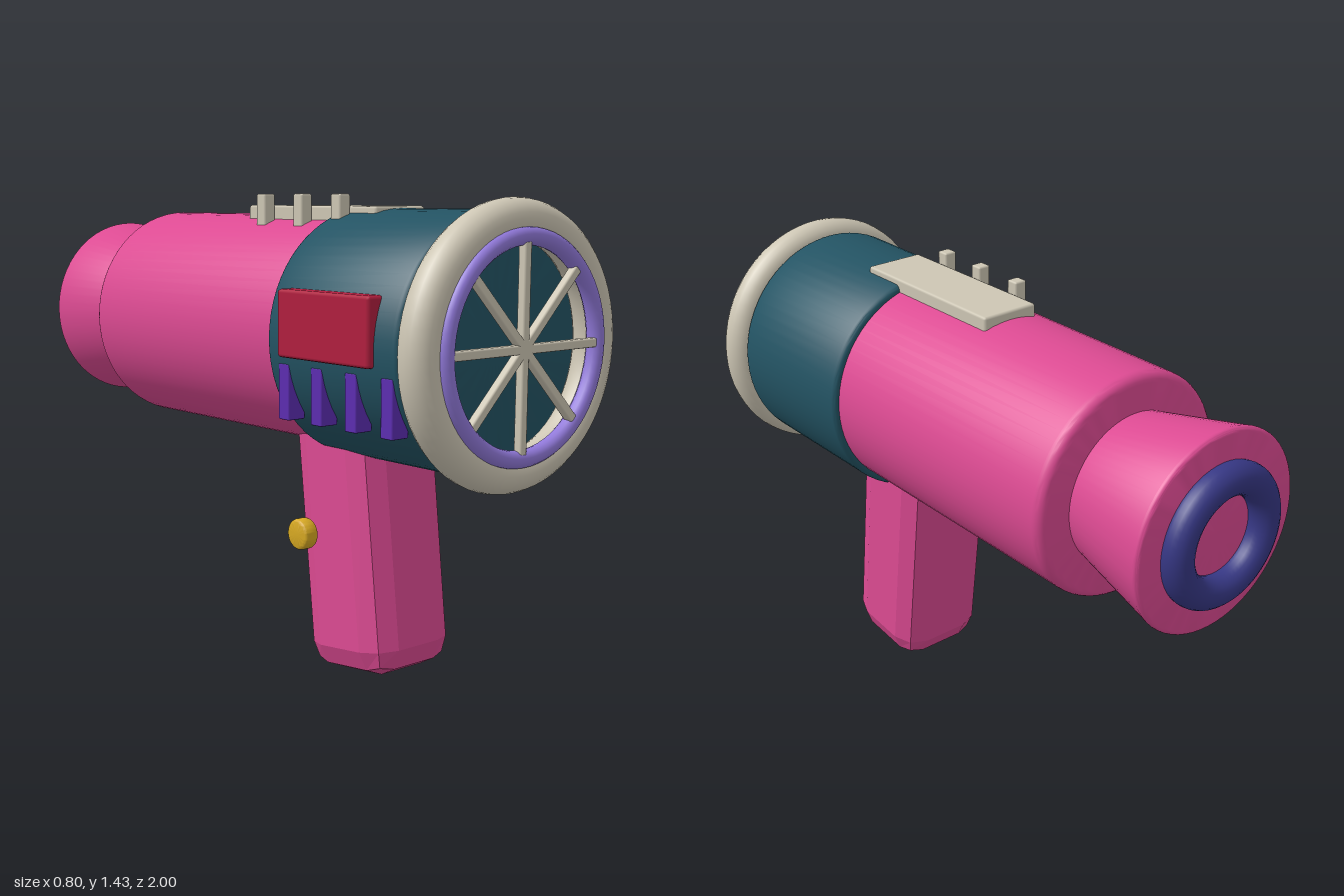
import * as THREE from 'three';
import { toCreasedNormals } from 'three/addons/utils/BufferGeometryUtils.js';
import { RoundedBoxGeometry } from 'three/addons/geometries/RoundedBoxGeometry.js';

const AXIS_Y = 1.034; // height of the barrel axis

function paint(name, color) {
  const m = new THREE.MeshStandardMaterial({ color });
  m.name = name;
  return m;
}

// Solid of revolution along z with rounded rims: radius r0 at z0, r1 at z1
function barrelGeometry(z0, r0, z1, r1, bevel) {
  const pts = [new THREE.Vector2(0, z0)];
  const steps = 5;
  for (let i = 0; i <= steps; i++) {
    const a = (i / steps) * Math.PI / 2;
    pts.push(new THREE.Vector2(r0 - bevel * (1 - Math.sin(a)), z0 + bevel * (1 - Math.cos(a))));
  }
  for (let i = 0; i <= steps; i++) {
    const a = (i / steps) * Math.PI / 2;
    pts.push(new THREE.Vector2(r1 - bevel * (1 - Math.cos(a)), z1 - bevel * (1 - Math.sin(a))));
  }
  pts.push(new THREE.Vector2(0, z1));
  const g = new THREE.LatheGeometry(pts, 64);
  g.rotateX(Math.PI / 2);
  return toCreasedNormals(g, 0.6);
}

export function createModel() {
  const pink = paint('pink', 0xdc4a92);
  const teal = paint('teal', 0x235363);
  const cream = paint('cream', 0xcdc6b4);
  const lavender = paint('lavender', 0x9179da);
  const navy = paint('navy', 0x363784);
  const red = paint('red', 0xb01e3e);
  const purple = paint('purple', 0x5c2db0);
  const yellow = paint('yellow', 0xd6a822);

  const model = new THREE.Group();
  model.name = 'toyBlaster';

  function add(name, geometry, material, x = 0, y = 0, z = 0) {
    const mesh = new THREE.Mesh(geometry, material);
    mesh.name = name;
    mesh.position.set(x, y, z);
    model.add(mesh);
    return mesh;
  }
  const block = (w, h, d, r = 0.006) => new RoundedBoxGeometry(w, h, d, 1, r);

  // Barrel sections, back to front
  add('rearFlare', barrelGeometry(-0.94, 0.302, -0.55, 0.222, 0.015), pink, 0, AXIS_Y);
  add('mainBarrel', barrelGeometry(-0.612, 0.344, 0.5, 0.344, 0.03), pink, 0, AXIS_Y);
  add('frontSleeve', barrelGeometry(0.338, 0.365, 0.872, 0.365, 0.02), teal, 0, AXIS_Y);

  // Rings
  add('rearRing', new THREE.TorusGeometry(0.167, 0.048, 20, 56), navy, 0, AXIS_Y, -0.952);
  add('muzzleRing', new THREE.TorusGeometry(0.342, 0.056, 20, 64), cream, 0, AXIS_Y, 0.93);
  add('innerRing', new THREE.TorusGeometry(0.297, 0.025, 14, 64), lavender, 0, AXIS_Y, 0.975);

  // Muzzle grille: four crossing bars
  for (let i = 0; i < 4; i++) {
    const bar = add('grilleBar', block(0.585, 0.026, 0.026, 0.005), cream, -0.012, AXIS_Y, 0.982);
    bar.rotation.z = i * Math.PI / 4;
  }

  // Faceted, tilted grip
  const gripShape = new RoundedBoxGeometry(0.326, 0.9, 0.34, 1, 0.083);
  gripShape.computeVertexNormals();
  const grip = add('grip', gripShape, pink, 0, 0.467, 0.388);
  grip.rotation.x = -0.115;

  // Round button beside the grip
  const button = barrelGeometry(-0.025, 0.047, 0.025, 0.047, 0.013);
  button.rotateY(Math.PI / 2);
  add('sideButton', button, yellow, -0.205, 0.438, 0.31);

  // Top rail and its studs
  add('topRail', block(0.195, 0.055, 0.585, 0.008), cream, -0.002, 1.378, 0.21);
  for (const z of [0.035, 0.21, 0.38]) {
    add('railStud', block(0.042, 0.1, 0.042), cream, -0.125, 1.39, z);
  }

  // Side panel with the fins below it
  add('sidePanel', block(0.06, 0.19, 0.375, 0.01), red, -0.355, 1.085, 0.597);
  for (let i = 0; i < 4; i++) {
    add('sideFin', block(0.06, 0.16, 0.045, 0.004), purple, -0.33, 0.89, 0.41 + i * 0.14);
  }

  return model;
}
